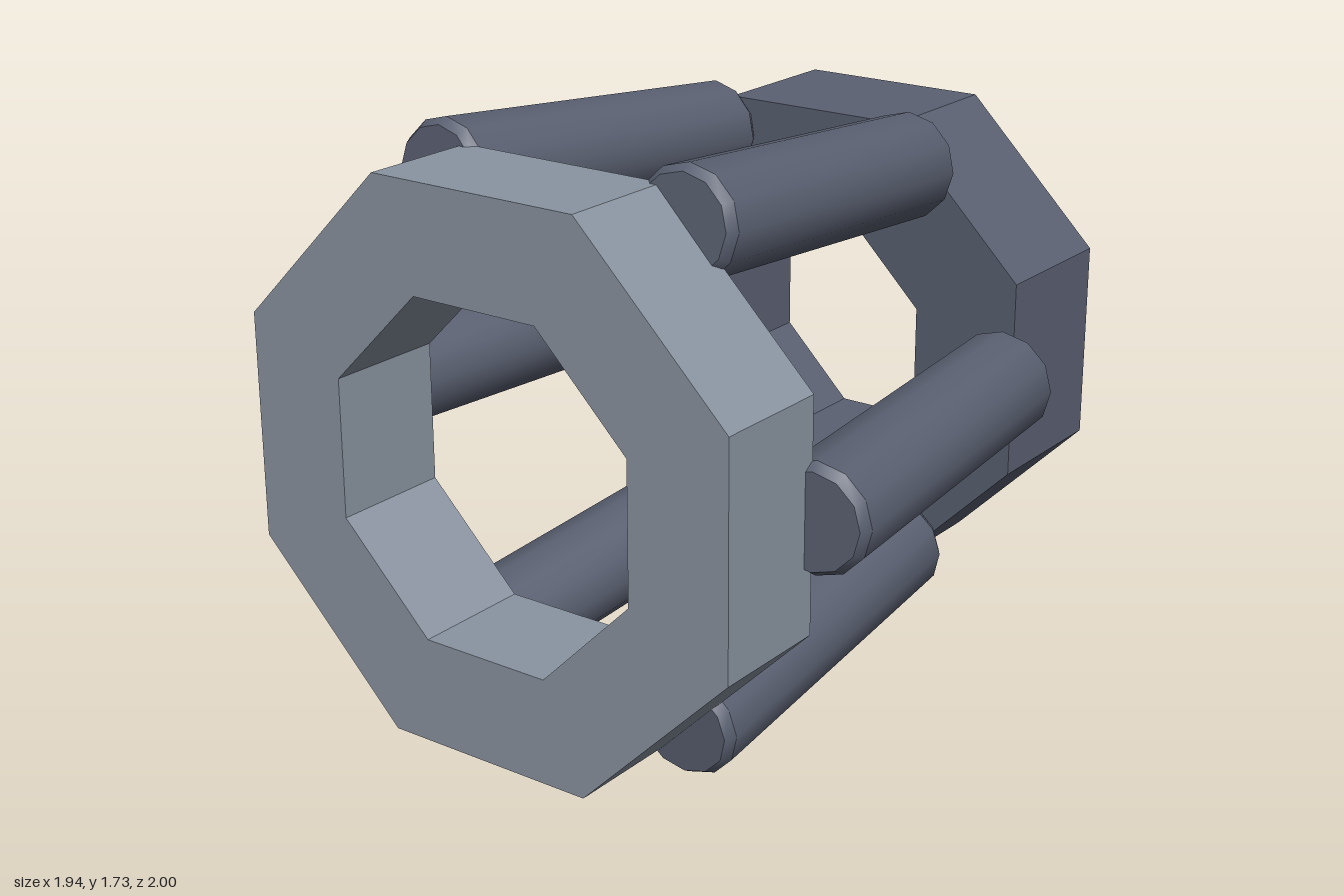
import * as THREE from 'three';
import { toCreasedNormals } from 'three/addons/utils/BufferGeometryUtils.js';

const CENTRE_Y = 0.87;

// Regular octagon outline with flat sides left, right, top and bottom
function octagon(PathType, apothem) {
  const radius = apothem / Math.cos(Math.PI / 8);
  const points = [];
  for (let i = 0; i < 8; i++) {
    const a = Math.PI / 8 + (i * Math.PI) / 4;
    points.push(new THREE.Vector2(Math.cos(a) * radius, Math.sin(a) * radius));
  }
  return new PathType(points);
}

// Octagonal ring with an octagonal hole, between two depths
function ring(name, outer, inner, zBack, zFront, material) {
  const shape = octagon(THREE.Shape, outer);
  shape.holes.push(octagon(THREE.Path, inner));
  const geometry = new THREE.ExtrudeGeometry(shape, { depth: zFront - zBack, bevelEnabled: false });
  const mesh = new THREE.Mesh(geometry, material);
  mesh.name = name;
  mesh.position.set(0, CENTRE_Y, zBack);
  return mesh;
}

// Twelve-sided rod with chamfered ends, along y
function rodGeometry(length) {
  const r = 0.158, cap = 0.138, bevel = 0.03, h = length / 2;
  const profile = [[0, -h], [cap, -h], [r, -h + bevel], [r, h - bevel], [cap, h], [0, h]];
  const lathe = new THREE.LatheGeometry(profile.map(([x, y]) => new THREE.Vector2(x, y)), 12);
  return toCreasedNormals(lathe, 0.54);
}

export function createModel() {
  const lightMetal = new THREE.MeshStandardMaterial({ color: 0x8a94a1 });
  lightMetal.name = 'light grey metal';
  const darkMetal = new THREE.MeshStandardMaterial({ color: 0x5a6071 });
  darkMetal.name = 'dark grey metal';

  const model = new THREE.Group();
  model.name = 'ringCoupling';

  // Wide front ring and narrower, thicker back ring
  model.add(ring('frontRing', 0.8, 0.49, 0.637, 1, lightMetal));
  model.add(ring('backRing', 0.712, 0.38, -1, -0.547, darkMetal));

  // Six rods that splay outward towards the front
  const back = new THREE.Vector3(0.689, 0, -0.544);
  const front = new THREE.Vector3(0.818, 0, 0.668);
  const axis = front.clone().sub(back);
  const geometry = rodGeometry(axis.length());
  const rods = new THREE.Group();
  rods.name = 'rods';
  rods.position.y = CENTRE_Y;
  for (let i = 0; i < 6; i++) {
    const arm = new THREE.Group();
    arm.name = `rodArm${i + 1}`;
    arm.rotation.z = (i * Math.PI) / 3;
    const rod = new THREE.Mesh(geometry, darkMetal);
    rod.name = `rod${i + 1}`;
    rod.position.copy(back).add(front).multiplyScalar(0.5);
    rod.rotation.order = 'YXZ';
    rod.rotation.set(Math.PI / 2, Math.atan2(axis.x, axis.z), 0);
    arm.add(rod);
    rods.add(arm);
  }
  model.add(rods);
  return model;
}
